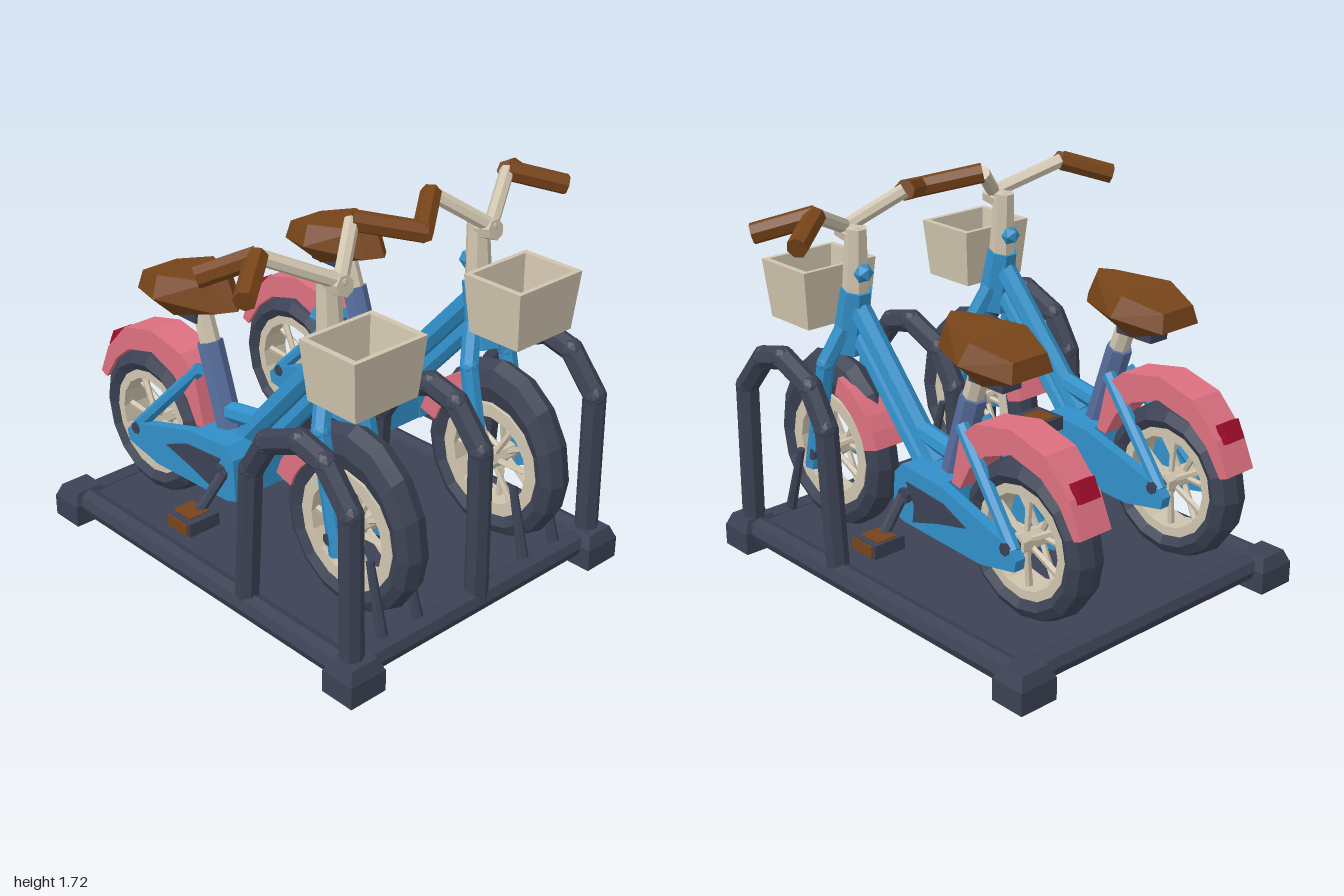
import * as THREE from 'three';
import { ConvexGeometry } from 'three/addons/geometries/ConvexGeometry.js';

const mat = (name, color) => new THREE.MeshStandardMaterial({ name, color, flatShading: true });
const V = (x, y, z) => new THREE.Vector3(x, y, z);

export function createModel() {
  const M = {
    dark: mat('dark slate', 0x3c4254), blue: mat('frame blue', 0x318fc8), cream: mat('cream', 0xcfc4ae),
    brown: mat('leather brown', 0x774419), pink: mat('fender pink', 0xdd7080),
    red: mat('lamp red', 0xa00d2a), steel: mat('seat tube blue grey', 0x576d9c),
  };
  const root = new THREE.Group();
  root.name = 'bikeRack';

  const add = (parent, name, geo, m) => {
    const mesh = new THREE.Mesh(geo, m);
    mesh.name = name;
    parent.add(mesh);
    return mesh;
  };
  const box = (parent, name, m, w, h, d, x, y, z) =>
    add(parent, name, new THREE.BoxGeometry(w, h, d).translate(x, y, z), m);
  // Straight bar between two points
  const rod = (parent, name, m, a, b, r0, r1 = r0, sides = 7) => {
    const dir = b.clone().sub(a);
    const mesh = add(parent, name, new THREE.CylinderGeometry(r1, r0, dir.length(), sides), m);
    mesh.position.copy(a).lerp(b, 0.5);
    mesh.quaternion.setFromUnitVectors(V(0, 1, 0), dir.normalize());
    return mesh;
  };
  // Bent bar: rods with rounded joints
  const chain = (parent, name, m, pts, r) => {
    const g = new THREE.Group();
    g.name = name;
    pts.forEach((p, i) => {
      if (i < pts.length - 1) rod(g, name + 'Bar', m, p, pts[i + 1], r);
      if (i > 0 && i < pts.length - 1)
        add(g, name + 'Joint', new THREE.IcosahedronGeometry(r * 1.03, 1), m).position.copy(p);
    });
    parent.add(g);
  };
  // Plate outlined in (z, y), extruded along x around xMid
  const plate = (parent, name, m, pts, width, xMid, hole) => {
    const shape = new THREE.Shape(pts.map(p => new THREE.Vector2(p[0], p[1])));
    if (hole) shape.holes.push(new THREE.Path(hole.map(p => new THREE.Vector2(p[0], p[1]))));
    const geo = new THREE.ExtrudeGeometry(shape, { depth: width, bevelEnabled: false });
    geo.translate(0, 0, -width / 2).rotateY(-Math.PI / 2).translate(xMid, 0, 0);
    return add(parent, name, geo, m);
  };
  const circle = (r, n) => Array.from({ length: n }, (_, i) =>
    [r * Math.cos(i / n * 2 * Math.PI), r * Math.sin(i / n * 2 * Math.PI)]);

  // Base platform with rails and corner feet
  const base = new THREE.Group();
  base.name = 'base';
  root.add(base);
  box(base, 'platform', M.dark, 1.42, 0.08, 1.82, 0, 0.09, 0);
  for (const s of [-1, 1]) {
    rod(base, 'sideRail', M.dark, V(s * 0.715, 0.095, -0.9), V(s * 0.715, 0.095, 0.9), 0.058, 0.058, 8);
    rod(base, 'endRail', M.dark, V(-0.7, 0.095, s * 0.885), V(0.7, 0.095, s * 0.885), 0.056, 0.056, 8);
    for (const t of [-1, 1]) {
      box(base, 'foot', M.dark, 0.185, 0.1, 0.165, s * 0.71, 0.05, t * 0.905);
      const cap = new THREE.CylinderGeometry(0.095, 0.131, 0.06, 4).rotateY(Math.PI / 4);
      add(base, 'footCap', cap.scale(1, 1, 0.89).translate(s * 0.71, 0.125, t * 0.905), M.dark);
    }
  }

  // Three parking hoops
  const hoop = [[0.89, 0.1], [0.88, 0.79], [0.74, 0.955], [0.6, 0.99], [0.41, 0.91], [0.31, 0.75], [0.265, 0.1]];
  for (const x of [-0.71, 0, 0.71]) chain(root, 'parkingHoop', M.dark, hoop.map(p => V(x, p[1], p[0])), 0.052);

  const wheel = (parent, name, z, r, halfW, topStretch) => {
    const g = new THREE.Group();
    g.name = name;
    g.position.set(0, 0.5, z);
    const tube = 0.062, R = r - tube;
    const geo = new THREE.TorusGeometry(R, tube, 8, 16).rotateY(-Math.PI / 2);
    const p = geo.attributes.position;
    for (let i = 0; i < p.count; i++) {  // widen the tyre and raise its crown
      const y = p.getY(i), d = Math.hypot(y, p.getZ(i));
      const outer = Math.max(0, (d - R + tube) / (2 * tube));
      p.setXYZ(i, p.getX(i) * halfW / tube, y + Math.max(0, y / d) * outer * topStretch, p.getZ(i));
    }
    add(g, 'tyre', geo, M.dark);
    plate(g, 'rim', M.cream, circle(0.262, 16), halfW * 1.5, 0, circle(0.205, 16));
    for (let i = 0; i < 12; i++) {
      const a = i / 12 * Math.PI * 2, c = Math.cos(a), s = Math.sin(a), x = i % 2 ? 0.035 : -0.035;
      rod(g, 'spoke', M.cream, V(x, s * 0.03, c * 0.03), V(x * 0.6, s * 0.215, c * 0.215), 0.013, 0.017, 5);
    }
    rod(g, 'hub', M.cream, V(-halfW, 0, 0), V(halfW, 0, 0), 0.045);
    rod(g, 'axle', M.dark, V(-0.16, 0, 0), V(0.16, 0, 0), 0.028);
    parent.add(g);
  };

  // One bike; s is its side, +x in its own points is the outer side of the rack
  const bike = s => {
    const g = new THREE.Group();
    g.name = s > 0 ? 'leftBike' : 'rightBike';
    g.position.x = s * 0.42;
    root.add(g);
    const P = (x, y, z) => V(s * x, y, z);

    wheel(g, 'frontWheel', 0.61, 0.368, 0.078, 0.09);
    wheel(g, 'rearWheel', -0.645, 0.345, 0.09, 0);

    // Fork, head tube and paired frame tubes
    for (const t of [-1, 1]) {
      chain(g, 'forkBlade', M.blue, [P(t * 0.05, 1.1, 0.48), P(t * 0.118, 0.94, 0.53), P(t * 0.125, 0.43, 0.64)], 0.04);
      rod(g, 'seatStay', M.blue, P(t * 0.06, 0.89, -0.29), P(t * 0.125, 0.49, -0.67), 0.03);
      plate(g, 'chainStay', M.blue, [[0.04, 0.42], [0.03, 0.61], [-0.02, 0.66], [-0.26, 0.64], [-0.66, 0.52],
        [-0.71, 0.47], [-0.7, 0.42], [-0.5, 0.38], [-0.02, 0.4]], 0.05, t * 0.13);
      // Wheel stops on the base
      rod(g, 'wheelStop', M.dark, P(t * 0.1, 0.12, 0.87), P(t * 0.09, 0.45, 0.78), 0.026, 0.018);
    }
    rod(g, 'headTube', M.blue, P(0, 0.99, 0.505), P(0, 1.27, 0.45), 0.085, 0.068);
    rod(g, 'upperTube', M.blue, P(0, 1.18, 0.43), P(0, 0.635, -0.065), 0.05);
    rod(g, 'lowerTube', M.blue, P(0, 1.06, 0.44), P(0, 0.56, -0.01), 0.04);
    rod(g, 'frameGusset', M.blue, P(0, 0.75, 0.03), P(0, 0.71, -0.2), 0.045);
    plate(g, 'bottomBracket', M.blue, [[0.035, 0.42], [0.03, 0.61], [-0.02, 0.66], [-0.25, 0.64], [-0.28, 0.4]], 0.22, 0);
    plate(g, 'chainPanel', M.dark, [[-0.05, 0.59], [-0.28, 0.57], [-0.42, 0.51], [-0.25, 0.47], [-0.09, 0.42], [-0.1, 0.5]],
      0.008, s * 0.157);

    // Seat tube, post and saddle
    rod(g, 'seatTube', M.steel, P(0, 0.62, -0.17), P(0, 1.0, -0.295), 0.058);
    rod(g, 'seatPost', M.cream, P(0, 0.98, -0.285), P(0, 1.17, -0.355), 0.045);
    box(g, 'saddleClamp', M.dark, 0.1, 0.05, 0.2, 0, 1.11, -0.42);
    const saddle = [V(0, 1.2, -0.1), V(0, 1.325, -0.16)];
    for (const t of [-1, 1]) saddle.push(V(t * 0.06, 1.315, -0.2), V(t * 0.15, 1.3, -0.44), V(t * 0.09, 1.25, -0.62),
      V(t * 0.07, 1.19, -0.16), V(t * 0.195, 1.21, -0.42), V(t * 0.11, 1.17, -0.635), V(t * 0.08, 1.1, -0.43));
    add(g, 'saddle', new ConvexGeometry(saddle), M.brown);

    // Fenders and tail lamp
    plate(g, 'rearFender', M.pink, [[-0.25, 0.63], [-0.3, 0.85], [-0.39, 0.93], [-0.6, 0.97], [-0.79, 0.92], [-0.925, 0.78],
      [-0.99, 0.635], [-0.95, 0.62], [-0.87, 0.74], [-0.77, 0.82], [-0.6, 0.865], [-0.45, 0.81], [-0.36, 0.73], [-0.3, 0.62]], 0.165, 0);
    const lamp = box(g, 'tailLamp', M.red, 0.1, 0.085, 0.04, 0, 0, 0);
    lamp.position.set(0, 0.8, -0.925);
    lamp.rotation.x = 0.45;
    const arc = r => Array.from({ length: 6 }, (_, i) => {
      const a = 0.3 + i * 0.19;
      return [0.61 - r * Math.cos(a), 0.5 + r * Math.sin(a)];
    });
    plate(g, 'frontFender', M.pink, [...arc(0.4), ...arc(0.31).reverse()], 0.18, 0);

    // Stem, handlebar and grips
    rod(g, 'stem', M.cream, P(0, 1.24, 0.455), P(0, 1.54, 0.44), 0.06, 0.048);
    rod(g, 'stemHead', M.cream, P(0, 1.5, 0.43), P(0, 1.52, 0.54), 0.045);
    add(g, 'stemBadge', new THREE.IcosahedronGeometry(0.045, 0), M.blue).position.set(0, 1.35, 0.4);
    const outer = P(0.27, 1.66, 0.35), inner = P(-0.2, 1.68, 0.36);
    chain(g, 'handlebar', M.cream, [outer, P(0, 1.53, 0.51), inner], 0.032);
    rod(g, 'outerGripFront', M.brown, outer, P(0.47, 1.59, 0.51), 0.045);
    rod(g, 'outerGripRear', M.brown, outer, P(0.46, 1.59, 0.22), 0.045);
    rod(g, 'innerGrip', M.brown, inner, P(-0.43, 1.62, 0.54), 0.045);

    // Open front basket
    const k = Math.SQRT2;
    const profile = [[0, 0], [0.165, 0], [0.19, 0.26], [0.163, 0.26], [0.14, 0.03], [0, 0.03]];
    const basket = new THREE.LatheGeometry(profile.map(p => new THREE.Vector2(p[0] * k, p[1])), 4);
    basket.rotateY(Math.PI / 4).scale(1, 1, 0.8).translate(s * 0.03, 1.105, 0.67);
    add(g, 'basket', basket, M.cream);

    // Cranks and pedals
    rod(g, 'crankAxle', M.dark, P(-0.18, 0.53, -0.05), P(0.18, 0.53, -0.05), 0.035);
    rod(g, 'outerCrank', M.dark, P(0.15, 0.54, -0.03), P(0.29, 0.38, -0.05), 0.024);
    rod(g, 'innerCrank', M.dark, P(-0.16, 0.53, -0.05), P(-0.2, 0.65, -0.06), 0.024);
    for (const [x, y] of [[0.315, 0.37], [-0.25, 0.645]]) {
      box(g, 'pedalFrame', M.dark, 0.155, 0.06, 0.16, s * x, y, -0.05);
      box(g, 'pedalPad', M.brown, 0.1, 0.068, 0.11, s * x, y, -0.06);
    }
    box(g, 'pedalEnd', M.brown, 0.04, 0.05, 0.13, s * 0.38, 0.37, -0.05);
  };
  bike(-1);
  bike(1);
  return root;
}
